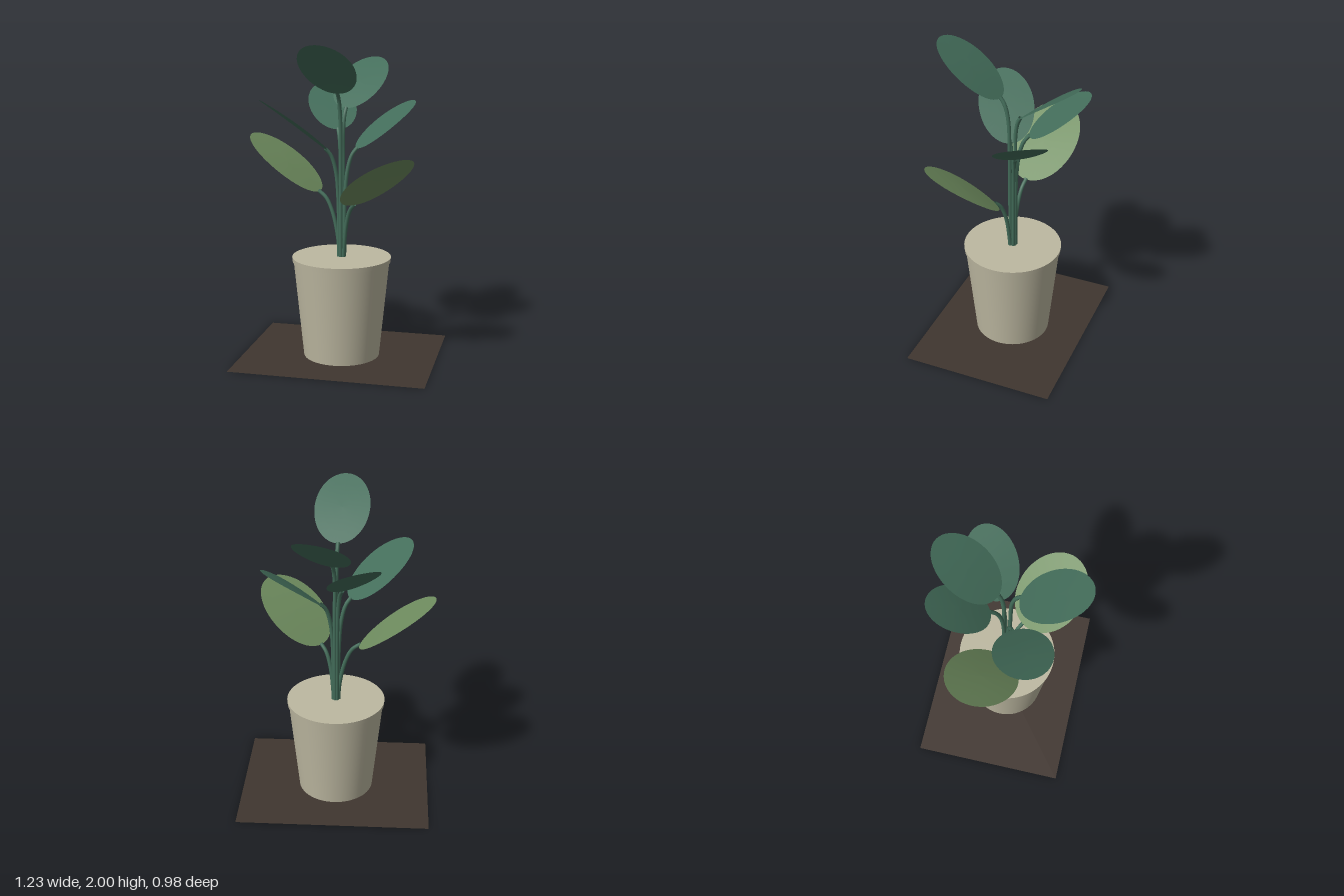
import * as THREE from 'three';

const material = (name, color, side = THREE.FrontSide) => {
  const m = new THREE.MeshStandardMaterial({ color, side });
  m.name = name;
  return m;
};

// azimuth in degrees (0 = +x, 90 = +z), base radius, plan length, width, base and tip height
const LEAVES = [
  { az: 95, r: 0.08, len: 0.41, width: 0.345, y0: 1.69, y1: 2.0 },
  { az: -74, r: 0.055, len: 0.41, width: 0.335, y0: 1.59, y1: 1.89 },
  { az: -115, r: 0.1, len: 0.37, width: 0.31, y0: 1.45, y1: 1.72 },
  { az: -31, r: 0.1, len: 0.386, width: 0.322, y0: 1.34, y1: 1.63 },
  { az: 150, r: 0.1, len: 0.421, width: 0.351, y0: 1.34, y1: 1.66 },
  { az: 39, r: 0.123, len: 0.45, width: 0.44, y0: 1.0, y1: 1.34, young: true },
  { az: 190.4, r: 0.154, len: 0.465, width: 0.44, y0: 1.06, y1: 1.41, young: true },
];

// Oval blade along local x, gently arched, facing +y
function leafGeometry(length, width) {
  const geo = new THREE.RingGeometry(0, 1, 48, 3);
  geo.rotateX(-Math.PI / 2);
  const p = geo.attributes.position;
  for (let i = 0; i < p.count; i++) {
    const u = p.getX(i);
    p.setXYZ(i, u * length / 2, 0.01 * (1 - u * u), p.getZ(i) * width / 2);
  }
  geo.computeVertexNormals();
  return geo;
}

export function createModel() {
  const plant = new THREE.Group();
  plant.name = 'pottedPlant';

  const clay = material('potBeige', 0xbdb8a1);
  const ground = material('groundBrown', 0x40362f, THREE.DoubleSide);
  const deep = material('deepGreen', 0x436d5a, THREE.DoubleSide);
  const olive = material('lightGreen', 0x708e60, THREE.DoubleSide);

  const add = (name, geo, mat, parent = plant) => {
    const mesh = new THREE.Mesh(geo, mat);
    mesh.name = name;
    parent.add(mesh);
    return mesh;
  };

  // Flat mat on the floor
  const mat = add('groundMat', new THREE.PlaneGeometry(1.23, 0.98), ground);
  mat.rotation.x = -Math.PI / 2;
  mat.position.y = 0.001;

  // Tapered pot with a shallow rim and a closed top
  add('potBody', new THREE.CylinderGeometry(0.305, 0.243, 0.62, 64), clay).position.y = 0.31;
  add('potRim', new THREE.CylinderGeometry(0.315, 0.312, 0.03, 64), clay).position.y = 0.635;

  // One bending stem and one blade per leaf
  LEAVES.forEach(({ az, r, len, width, y0, y1, young }, i) => {
    const a = THREE.MathUtils.degToRad(az);
    const at = (radius, y) => new THREE.Vector3(Math.cos(a) * radius, y, Math.sin(a) * radius);
    const group = new THREE.Group();
    group.name = `leafStalk${i + 1}`;
    plant.add(group);

    const path = new THREE.CatmullRomCurve3([
      at(0.018, 0.62), at(0.022, y0 - 0.32), at(0.38 * r, y0 - 0.14),
      at(0.68 * r, y0 - 0.04), at(r + 0.005, y0 + 0.005),
    ]);
    add('stem', new THREE.TubeGeometry(path, 32, 0.0125, 8), deep, group);

    const base = at(r, y0), tip = at(r + len, y1);
    const along = tip.clone().sub(base);
    const length = along.length();
    along.normalize();
    const side = new THREE.Vector3(-Math.sin(a), 0, Math.cos(a));
    const up = side.clone().cross(along);
    const blade = add('leaf', leafGeometry(length, width), young ? olive : deep, group);
    blade.quaternion.setFromRotationMatrix(new THREE.Matrix4().makeBasis(along, up, side));
    blade.position.copy(base).add(tip).multiplyScalar(0.5);
  });

  return plant;
}
